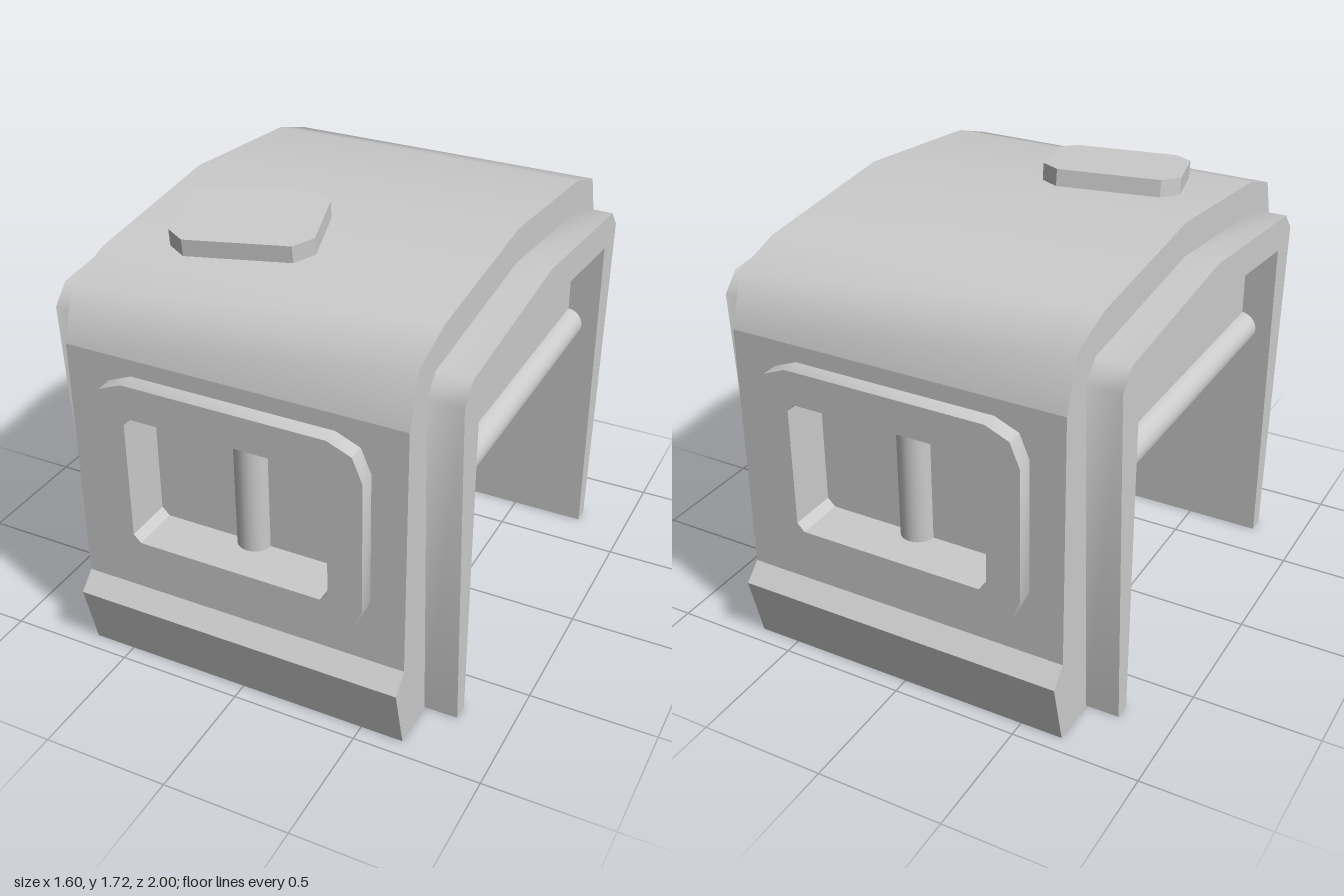
import * as THREE from 'three';
import { toCreasedNormals } from 'three/addons/utils/BufferGeometryUtils.js';

const material = new THREE.MeshStandardMaterial({ color: 0xcccccc });
const HALF = 0.667; // half width of the shell, and half of the inner clear span

const outline = (points) => new THREE.Shape(points.map(([a, b]) => new THREE.Vector2(a, b)));

// Extrude an outline, softening only the shallow corners
function prism(shape, depth, crease = 1.0) {
  const geometry = new THREE.ExtrudeGeometry(shape, { depth, bevelEnabled: false, curveSegments: 1 });
  return toCreasedNormals(geometry, crease);
}

// Extrude a (z, y) profile along x between two x positions
function crossPrism(points, x0, x1) {
  const geometry = prism(outline(points.map(([z, y]) => [-z, y])), x1 - x0);
  return geometry.rotateY(Math.PI / 2).translate(x0, 0, 0);
}

// Add the mirror image (z -> -z) of half an arch profile
const mirrored = (points) => [
  ...points,
  ...points.filter(([z]) => z !== 0).reverse().map(([z, y]) => [-z, y]),
];

// Rectangle with cut corners, given as the quarter corner in the (+, +) quadrant
function cutRectangle(corner, cy) {
  const back = [...corner].reverse();
  return [
    ...corner.map(([x, y]) => [x, cy + y]),
    ...back.map(([x, y]) => [-x, cy + y]),
    ...corner.map(([x, y]) => [-x, cy - y]),
    ...back.map(([x, y]) => [x, cy - y]),
  ];
}

function add(parent, name, geometry) {
  const mesh = new THREE.Mesh(geometry, material);
  mesh.name = name;
  parent.add(mesh);
  return mesh;
}

// One wall with its skirt and barred window, facing +z
function makeWall() {
  const wall = new THREE.Group();
  const cy = 0.867;
  const opening = cutRectangle([[0.4, 0.237], [0.37, 0.267]], cy);
  const hole = () => outline(opening);

  const panel = outline([[-HALF, 0], [HALF, 0], [HALF, 1.333], [-HALF, 1.333]]);
  panel.holes.push(hole());
  add(wall, 'wallPanel', prism(panel, 0.266, 0.5).translate(0, 0, HALF));

  const frame = outline(cutRectangle([[0.533, 0.267], [0.494, 0.361], [0.4, 0.4]], cy));
  frame.holes.push(hole());
  add(wall, 'windowFrame', prism(frame, 0.067, 0.5).translate(0, 0, 0.933));

  add(wall, 'windowPane', new THREE.BoxGeometry(0.82, 0.55, 0.01).translate(0, cy, 0.8));
  add(wall, 'windowBar', new THREE.CylinderGeometry(0.067, 0.067, 0.54, 24).translate(0, cy, 0.8));
  add(wall, 'skirt', crossPrism([[0.933, 0], [1, 0.267], [0.933, 0.333]], -HALF, HALF));
  return wall;
}

// One open end with its arched trim, upper screen and rail, facing +x
function makeEnd() {
  const end = new THREE.Group();
  const outer = mirrored([[0.733, 0], [0.8, 1.387], [0.733, 1.46], [0, 1.533]]);
  const inner = mirrored([[HALF, 0], [HALF, 1.333], [0, 1.4]]).reverse();
  add(end, 'archTrim', crossPrism([...outer, ...inner], HALF, 0.8));

  const screen = mirrored([[HALF, 0.967], [HALF, 1.333], [0, 1.4]]);
  add(end, 'endScreen', crossPrism(screen, 0.662, 0.672));

  const rail = new THREE.CylinderGeometry(0.067, 0.067, 2 * HALF, 24);
  add(end, 'endRail', rail.rotateX(Math.PI / 2).translate(HALF, 0.967, 0));
  return end;
}

export function createModel() {
  const model = new THREE.Group();
  model.name = 'shelter';

  // Pitched roof with sloping shoulders
  const roofOuter = mirrored([[0.933, 1.333], [0.867, 1.533], [HALF, 1.6], [0, 1.667]]);
  const roofInner = mirrored([[HALF, 1.333], [0, 1.4]]).reverse();
  add(model, 'roof', crossPrism([...roofOuter, ...roofInner], -HALF, HALF));

  // Matching walls and open ends, turned half round
  for (const [i, side] of ['front', 'back'].entries()) {
    const wall = makeWall();
    wall.name = side + 'Wall';
    wall.rotation.y = i * Math.PI;
    model.add(wall);
  }
  for (const [i, side] of ['left', 'right'].entries()) {
    const end = makeEnd();
    end.name = side + 'End';
    end.rotation.y = i * Math.PI;
    model.add(end);
  }

  // Hatch lying askew on the front roof slope
  const hatchShape = outline(cutRectangle([[0.267, 0.133], [0.2, 0.2]], 0));
  const hatchGeometry = prism(hatchShape, 0.067, 0.5).rotateX(-Math.PI / 2).rotateY(0.26);
  const hatch = add(model, 'roofHatch', hatchGeometry);
  hatch.rotation.x = Math.atan(0.1);
  hatch.position.set(-0.217, 1.63, 0.375);

  return model;
}
